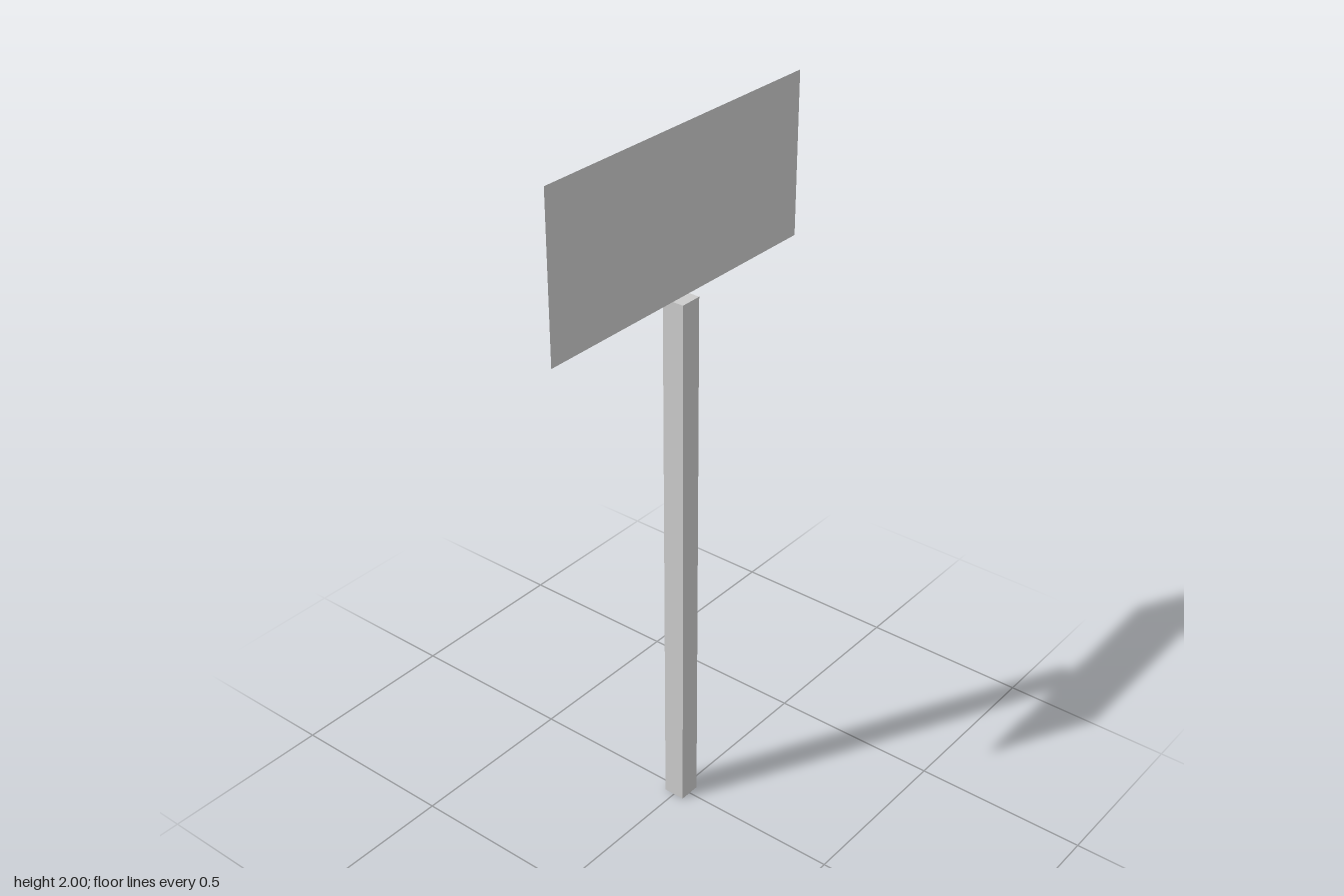
import * as THREE from 'three';

const POST_WIDTH = 0.063;
const POST_HEIGHT = 1.556;
const BOARD_WIDTH = 0.937;
const BOARD_HEIGHT = 2 - POST_HEIGHT;

export function createModel() {
  const model = new THREE.Group();
  model.name = 'signpost';

  // square post
  const post = new THREE.Mesh(
    new THREE.BoxGeometry(POST_WIDTH, POST_HEIGHT, POST_WIDTH),
    new THREE.MeshStandardMaterial({ color: 0xcccccc, flatShading: true })
  );
  post.name = 'post';
  post.position.y = POST_HEIGHT / 2;

  // paper-thin board standing on the post, seen from both sides
  const board = new THREE.Mesh(
    new THREE.PlaneGeometry(BOARD_WIDTH, BOARD_HEIGHT),
    new THREE.MeshStandardMaterial({ color: 0xcccccc, side: THREE.DoubleSide })
  );
  board.name = 'signBoard';
  board.position.y = POST_HEIGHT + BOARD_HEIGHT / 2;

  model.add(post, board);
  return model;
}
